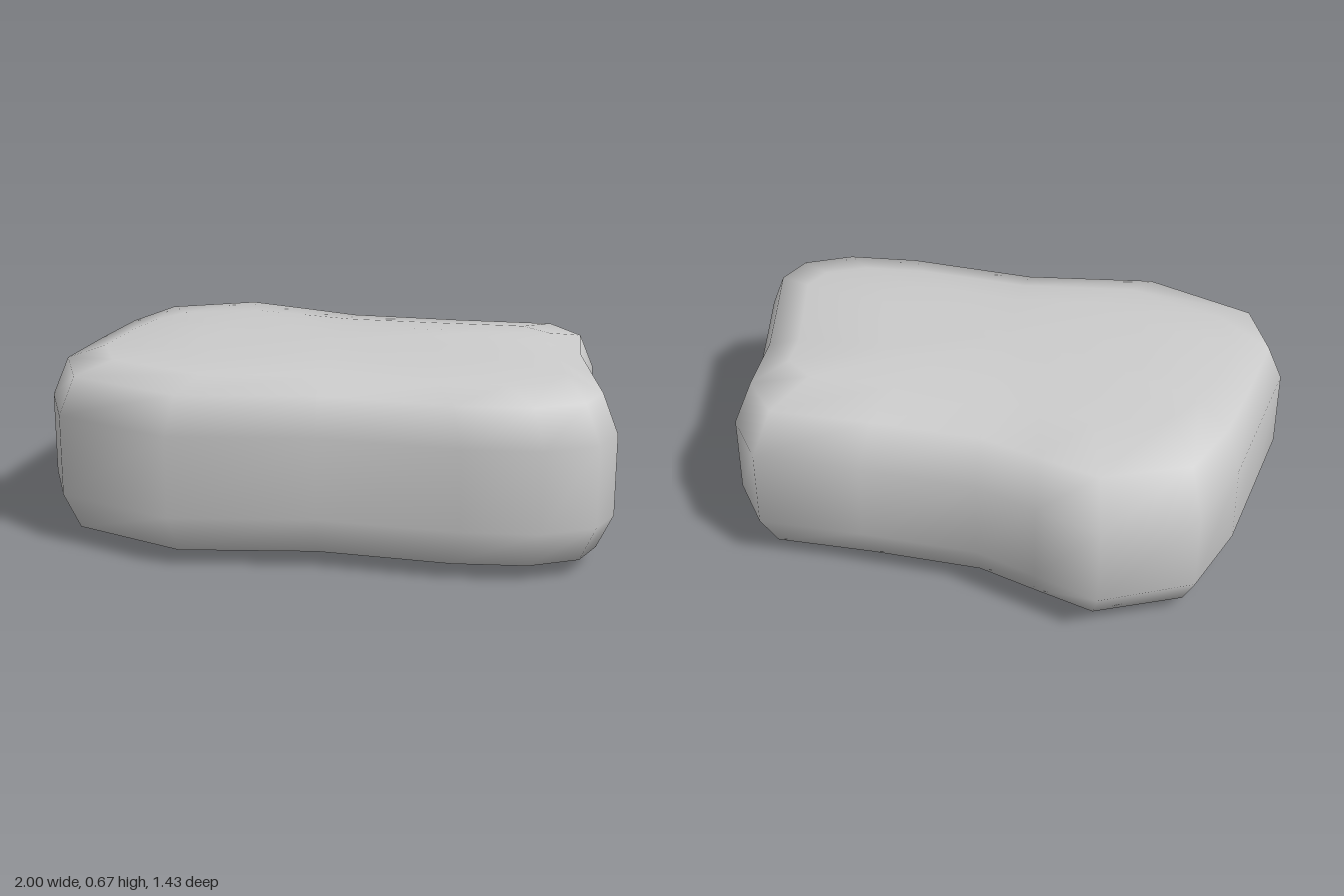
import * as THREE from 'three';

// Widest outline seen from above, as [x, z], starting at the back right bulge
const OUTLINE = [
  [-0.45, -0.72], [-0.22, -0.63], [0, -0.54], [0.42, -0.51], [0.8, -0.5], [0.92, -0.31],
  [0.92, 0], [0.96, 0.25], [1, 0.49], [0.94, 0.62], [0.76, 0.7], [0.49, 0.715],
  [0, 0.665], [-0.5, 0.715], [-0.91, 0.54], [-1, 0.3], [-0.94, 0], [-0.88, -0.3], [-0.77, -0.58],
];

// Cross-sections from bottom to top: height, x scale, front z scale, back z scale
const RINGS = [
  [0.0, 0.5, 0.55, 0.15],
  [0.025, 0.82, 0.76, 0.5],
  [0.06, 0.945, 0.945, 0.88],
  [0.19, 1, 1, 1],
  [0.48, 1, 1, 1],
  [0.615, 0.945, 0.945, 0.81],
  [0.65, 0.82, 0.76, 0.45],
  [0.67, 0.5, 0.55, 0.12],
];

function pebbleGeometry() {
  const positions = [];
  const index = [];
  const n = OUTLINE.length;
  for (const [y, sx, front, back] of RINGS) {
    for (const [x, z] of OUTLINE) positions.push(x * sx, y, z * (z > 0 ? front : back));
  }
  const bottom = n * RINGS.length;
  const top = bottom + 1;
  positions.push(0, 0, 0.12, 0, 0.67, 0.12);

  for (let j = 0; j < n; j++) {
    const k = (j + 1) % n;
    // Rounded wall
    for (let r = 0; r < RINGS.length - 1; r++) {
      const a = r * n + j, b = r * n + k;
      index.push(a, a + n, b, b, a + n, b + n);
    }
    // Flat underside and top
    const last = (RINGS.length - 1) * n;
    index.push(bottom, j, k, top, last + k, last + j);
  }

  const geometry = new THREE.BufferGeometry();
  geometry.setAttribute('position', new THREE.Float32BufferAttribute(positions, 3));
  geometry.setIndex(index);
  geometry.computeVertexNormals();
  return geometry;
}

export function createModel() {
  const group = new THREE.Group();
  group.name = 'stone';
  const body = new THREE.Mesh(pebbleGeometry(), new THREE.MeshStandardMaterial({ color: 0xcccccc }));
  body.name = 'stoneBody';
  group.add(body);
  return group;
}
